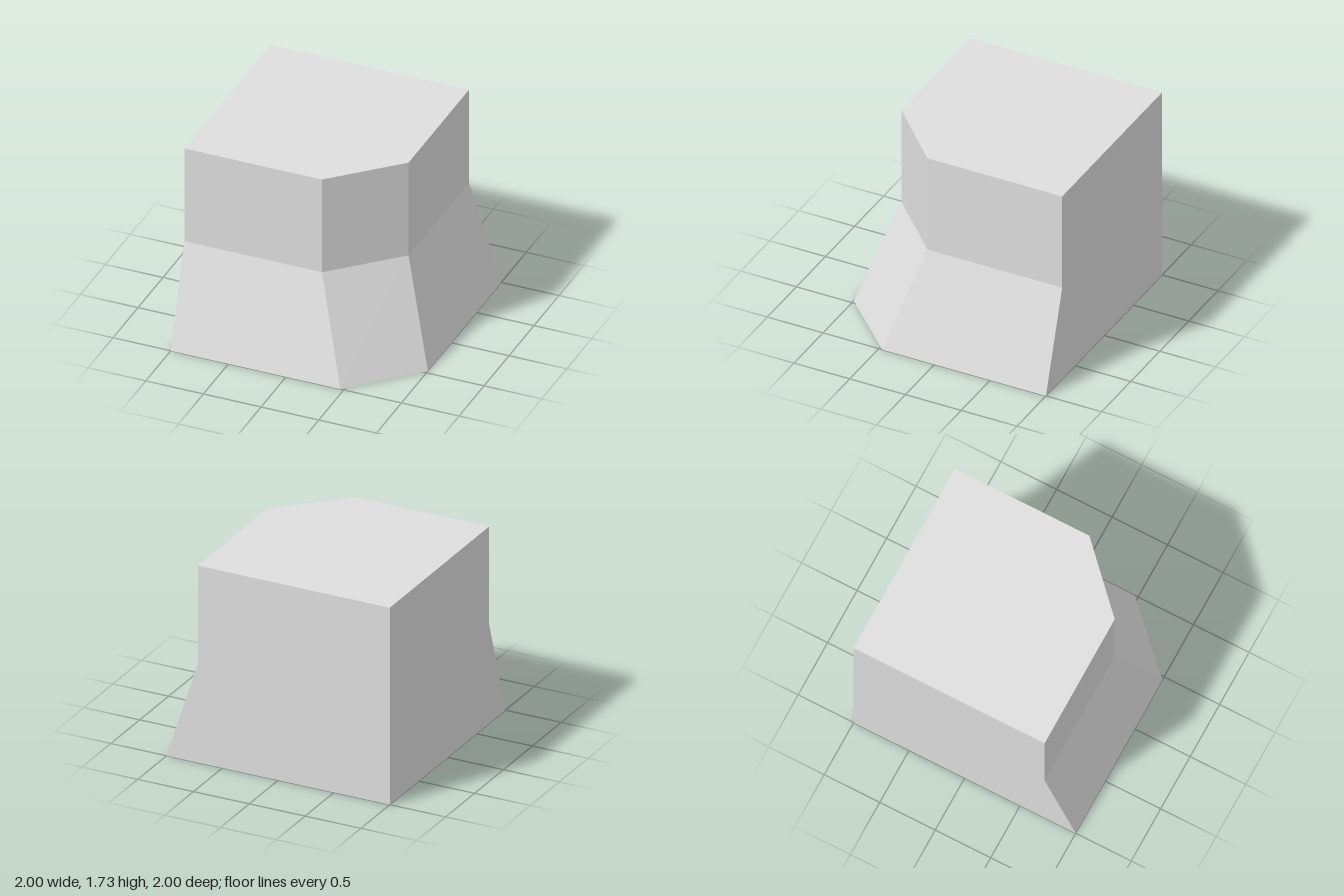
import * as THREE from 'three';

// Ground plan of the block: two flat back sides, and a chamfered front corner.
// The front sides move out by `flare`.
function section(y, flare) {
  const s = 0.72 + flare;
  return [
    [-1, y, -1], [s, y, -1], [s, y, 0.21 + flare * 0.93],
    [0.19 + flare, y, s], [-1, y, s],
  ];
}

// Flat-sided surface through stacked sections, with optional end caps
function loft(sections, capBottom, capTop) {
  const p = [];
  const tri = (a, b, c) => p.push(...a, ...b, ...c);
  for (let k = 0; k < sections.length - 1; k++) {
    const b = sections[k], t = sections[k + 1];
    b.forEach((_, i) => {
      const j = (i + 1) % b.length;
      tri(b[j], b[i], t[i]);
      tri(b[j], t[i], t[j]);
    });
  }
  const b = sections[0], t = sections[sections.length - 1];
  for (let i = 1; i < b.length - 1; i++) {
    if (capBottom) tri(b[0], b[i], b[i + 1]);
    if (capTop) tri(t[0], t[i + 1], t[i]);
  }
  const g = new THREE.BufferGeometry();
  g.setAttribute('position', new THREE.Float32BufferAttribute(p, 3));
  g.computeVertexNormals();
  return g;
}

export function createModel() {
  const group = new THREE.Group();
  group.name = 'cornerBlock';
  const stone = new THREE.MeshStandardMaterial({ color: 0xdedede });
  stone.name = 'pale grey';

  const foot = section(0, 0.28), waist = section(0.865, 0), top = section(1.73, 0);

  // Flared lower half
  const base = new THREE.Mesh(loft([foot, waist], true, false), stone);
  base.name = 'flaredBase';
  // Upright upper half
  const upper = new THREE.Mesh(loft([waist, top], false, true), stone);
  upper.name = 'upperBlock';

  group.add(base, upper);
  return group;
}
